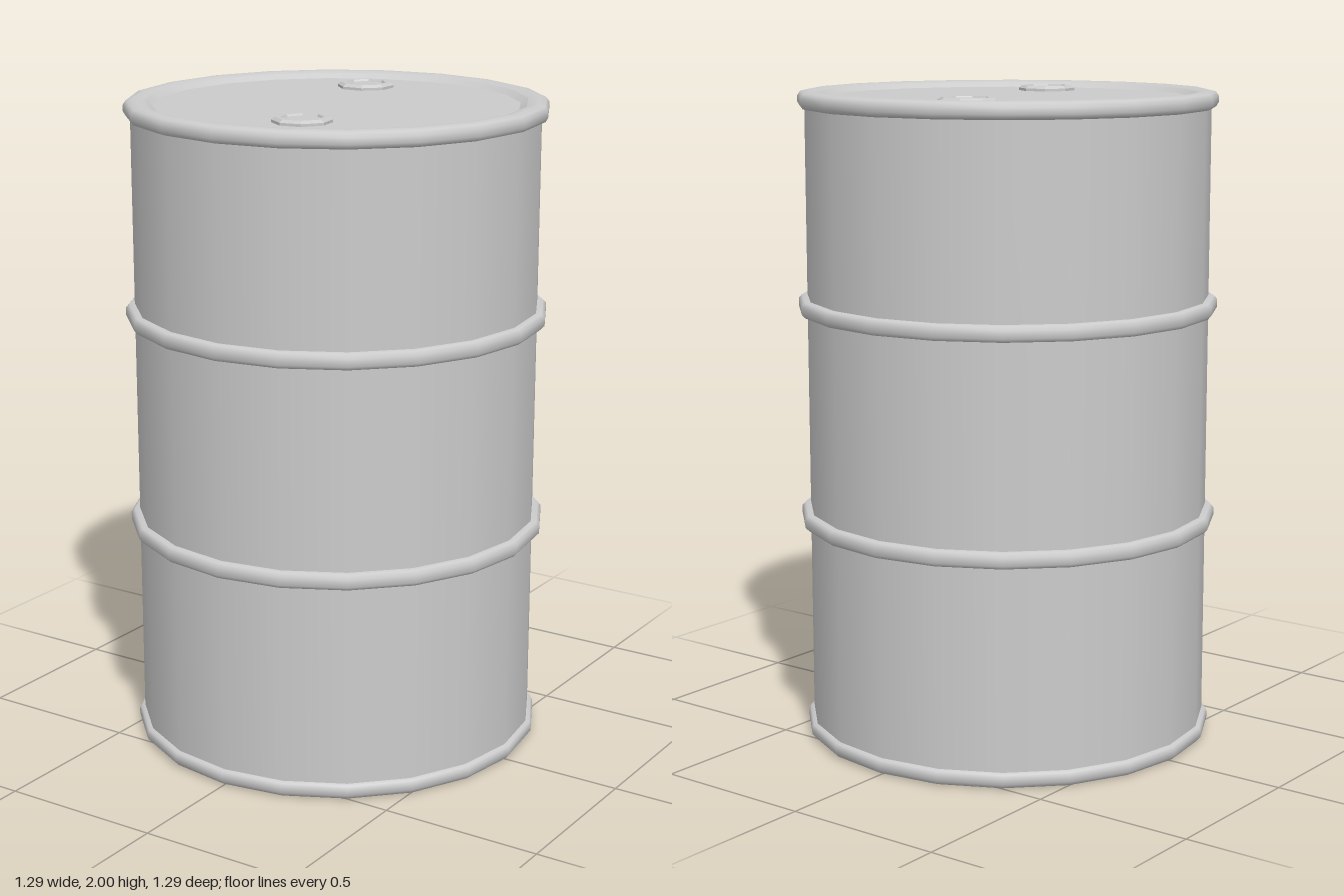
import * as THREE from 'three';

const SIDES = 20;

// Revolves a profile of [radius, height] pairs, listed from the underside outwards and up
function lathe(name, profile, sides = SIDES, flatShading = false) {
  const geometry = new THREE.LatheGeometry(profile.map(([r, y]) => new THREE.Vector2(r, y)), sides);
  const material = new THREE.MeshStandardMaterial({ color: 0xcccccc, flatShading });
  const mesh = new THREE.Mesh(geometry, material);
  mesh.name = name;
  return mesh;
}

// Threaded plug: an octagonal collar around a shallow recessed centre
function createPlug(name, x, z, turn) {
  const plug = lathe(name, [
    [0.088, 0], [0.088, 0.008], [0.078, 0.016], [0.064, 0.016],
    [0.06, 0.009], [0.05, 0.009], [0.046, 0.012], [0, 0.012],
  ], 8, true);
  plug.position.set(x, 1.98, z);
  plug.rotation.y = THREE.MathUtils.degToRad(turn);
  return plug;
}

export function createModel() {
  const drum = new THREE.Group();
  drum.name = 'drum';

  // Straight wall
  drum.add(lathe('body', [[0.618, 0.03], [0.618, 1.97]]));

  // Raised rolling hoops
  for (const [name, y] of [['lowerHoop', 0.692], ['upperHoop', 1.35]]) {
    drum.add(lathe(name, [
      [0.617, y - 0.025], [0.635, y - 0.023], [0.645, y - 0.012],
      [0.645, y + 0.012], [0.635, y + 0.023], [0.617, y + 0.025],
    ]));
  }

  // Rolled top rim, sloping in to the lid
  drum.add(lathe('topRim', [
    [0.617, 1.947], [0.632, 1.951], [0.639, 1.963], [0.639, 1.982],
    [0.63, 1.995], [0.61, 2], [0.592, 1.999], [0.575, 1.994],
  ]));
  drum.add(lathe('rimInnerWall', [[0.575, 1.994], [0.552, 1.98]]));
  drum.add(lathe('lid', [[0.552, 1.98], [0, 1.98]]));

  // Rolled bottom rim and recessed base
  drum.add(lathe('base', [[0, 0.015], [0.565, 0.015]]));
  drum.add(lathe('bottomRim', [
    [0.565, 0.015], [0.58, 0.004], [0.605, 0], [0.625, 0.005],
    [0.635, 0.018], [0.635, 0.035], [0.63, 0.046], [0.617, 0.05],
  ]));

  // Two plugs on the lid
  drum.add(createPlug('backPlug', -0.117, -0.345, 24));
  drum.add(createPlug('frontPlug', 0.108, 0.347, 33));

  return drum;
}
